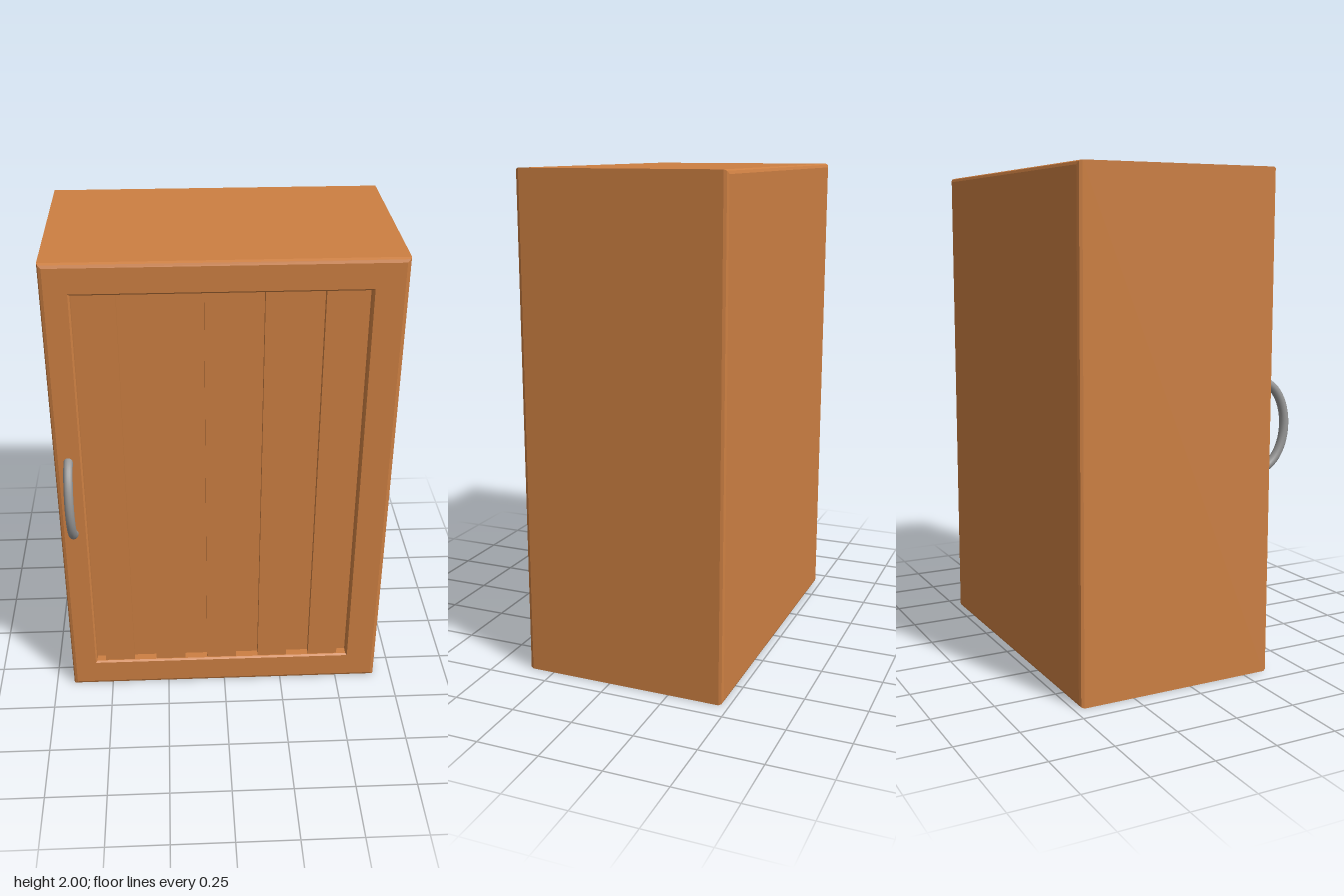
import * as THREE from 'three';

// Surface through a series of rectangles [x0, x1, y0, y1, z], capped at both ends
function rectLoft(rings) {
  const p = [];
  const corners = ([x0, x1, y0, y1, z]) => [[x0, y0, z], [x1, y0, z], [x1, y1, z], [x0, y1, z]];
  const quad = (a, b, c, d) => p.push(...a, ...b, ...c, ...a, ...c, ...d);
  const loops = rings.map(corners);
  for (let i = 0; i < loops.length - 1; i++) {
    const a = loops[i], b = loops[i + 1];
    for (let k = 0; k < 4; k++) {
      const n = (k + 1) % 4;
      quad(a[k], a[n], b[n], b[k]);
    }
  }
  const first = loops[0], last = loops[loops.length - 1];
  quad(first[3], first[2], first[1], first[0]);
  quad(last[0], last[1], last[2], last[3]);
  const g = new THREE.BufferGeometry();
  g.setAttribute('position', new THREE.Float32BufferAttribute(p, 3));
  g.computeVertexNormals();
  return g;
}

export function createModel() {
  const group = new THREE.Group();
  const wood = new THREE.MeshStandardMaterial({ color: 0xcc7f42 });
  const metal = new THREE.MeshStandardMaterial({ color: 0x969696 });
  const add = (name, geometry, material) => {
    const mesh = new THREE.Mesh(geometry, material);
    mesh.name = name;
    group.add(mesh);
    return mesh;
  };

  // Cabinet body with rounded edges and a recessed front panel
  const outer = (inset, z) => [-0.673 + inset, 0.673 - inset, inset, 2 - inset, z];
  const inner = (inset, z) => [-0.57 + inset, 0.547 - inset, 0.122 + inset, 1.884 - inset, z];
  const back = -0.475, front = 0.36, r = 0.016;
  add('cabinetBody', rectLoft([
    outer(r, back), outer(r * 0.3, back + r * 0.3), outer(0, back + r),
    outer(0, front - r), outer(r * 0.3, front - r * 0.3), outer(r, front),
    inner(0, front), inner(0.007, front - 0.007), inner(0.007, 0.32),
  ]), wood);

  // Vertical slats on the recessed panel
  const slat = new THREE.BoxGeometry(0.127, 1.748, 0.035);
  for (let i = 0; i < 5; i++) {
    add('slat' + (i + 1), slat, wood).position.set(-0.462 + i * 0.2245, 1.003, 0.3325);
  }

  // Curved door handle
  const arc = [];
  for (let i = 0; i <= 16; i++) {
    const a = -Math.PI / 2 + (Math.PI * i) / 16;
    arc.push(new THREE.Vector3(-0.617, 1 + 0.178 * Math.sin(a), 0.33 + 0.127 * Math.cos(a)));
  }
  add('handle', new THREE.TubeGeometry(new THREE.CatmullRomCurve3(arc), 32, 0.0185, 12), metal);

  return group;
}
